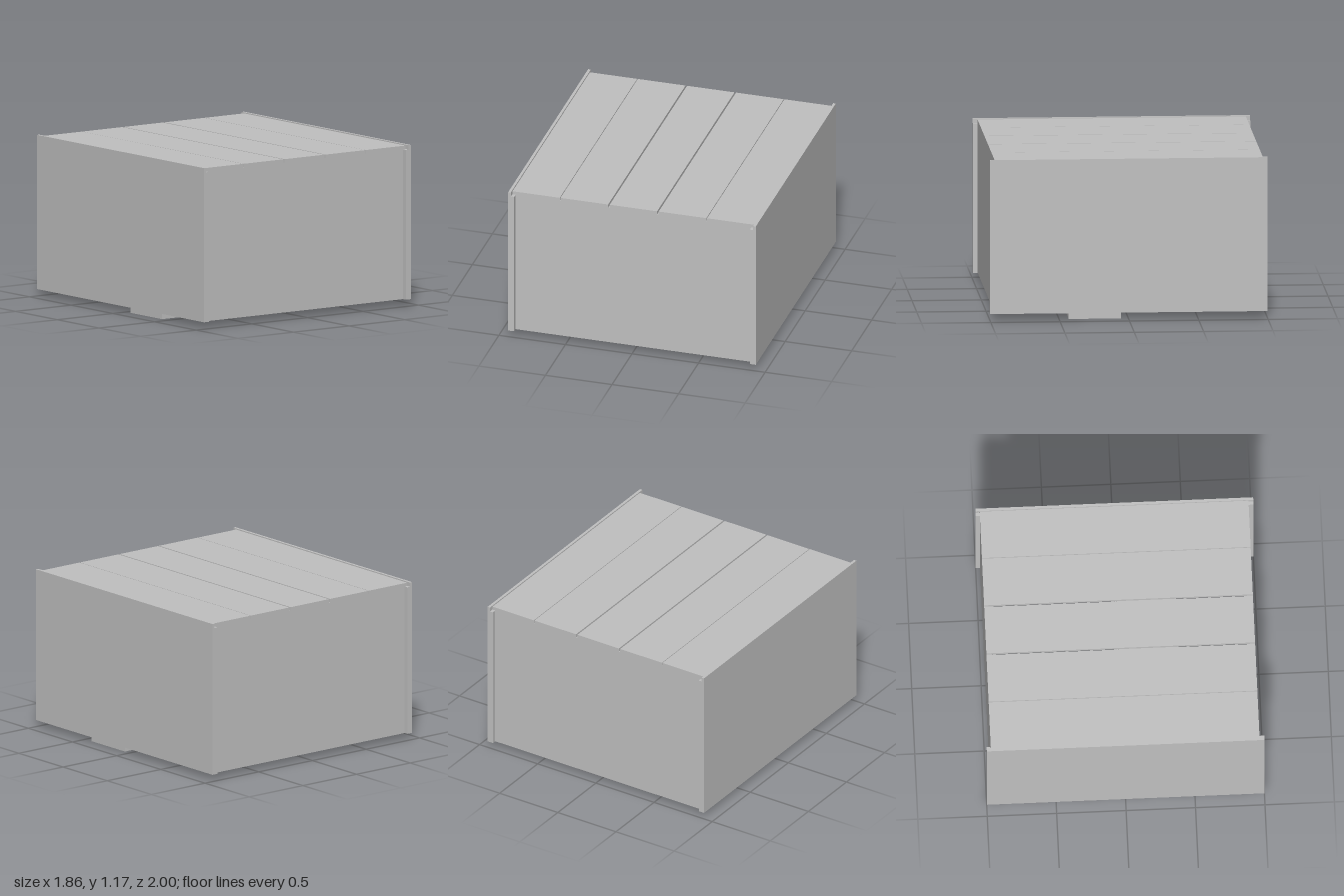
import * as THREE from 'three';

const BASE = 0.05;      // underside of the walls
const SEAT = 1.14;      // level the roof boards rest on
const ROOF = 1.165;     // top of the roof boards
const INNER = 0.885;    // inner face of the side walls
const OUTER = 0.93;     // outer face of the side walls

export function createModel() {
  const group = new THREE.Group();
  const grey = new THREE.MeshStandardMaterial({ color: 0xc0c0c0 });
  grey.name = 'plain grey';

  const add = (name, geometry) => {
    const mesh = new THREE.Mesh(geometry, grey);
    mesh.name = name;
    group.add(mesh);
    return mesh;
  };

  // Box given by its lower and upper limits on each axis
  const block = (name, x0, x1, y0, y1, z0, z1) => {
    const mesh = add(name, new THREE.BoxGeometry(x1 - x0, y1 - y0, z1 - z0));
    mesh.position.set((x0 + x1) / 2, (y0 + y1) / 2, (z0 + z1) / 2);
    return mesh;
  };

  // Closed outline in x and y, extruded from z0 to z1
  const slab = (points, z0, z1, hole) => {
    const shape = new THREE.Shape(points.map(([x, y]) => new THREE.Vector2(x, y)));
    if (hole) shape.holes.push(new THREE.Path(hole.map(([x, y]) => new THREE.Vector2(x, y))));
    return new THREE.ExtrudeGeometry(shape, { depth: z1 - z0, bevelEnabled: false }).translate(0, 0, z0);
  };
  const rectangle = (x, y0, y1) => [[-x, y0], [x, y0], [x, y1], [-x, y1]];

  // Side walls, rebated along the top edge to receive the roof
  for (const [side, name] of [[1, 'leftWall'], [-1, 'rightWall']]) {
    const outline = [[INNER, BASE], [OUTER, BASE], [OUTER, 1.172], [0.91, 1.172], [0.91, SEAT], [INNER, SEAT]];
    add(name, slab(outline.map(([x, y]) => [side * x, y]), -1, 1));
  }

  // Front and back walls, set in slightly from the ends of the side walls
  block('frontWall', -INNER, INNER, BASE, SEAT, 0.92, 0.965);
  block('backWall', -INNER, INNER, BASE, SEAT, -0.97, -0.925);

  // Middle partition with a large opening
  add('partitionFrame', slab(rectangle(INNER, BASE, SEAT), -0.015, 0.04, rectangle(0.785, 0.19, 1.0)));

  // Roof boards with narrow gaps between them
  const boards = [[-0.908, -0.553], [-0.548, -0.19], [-0.178, 0.178], [0.19, 0.548], [0.553, 0.908]];
  boards.forEach(([x0, x1], i) => block('roofBoard' + (i + 1), x0, x1, SEAT, ROOF, -0.97, 0.965));

  // Board across the underside
  block('bottomBoard', -0.88, 0.88, 0, BASE, 0.053, 0.43);

  return group;
}
